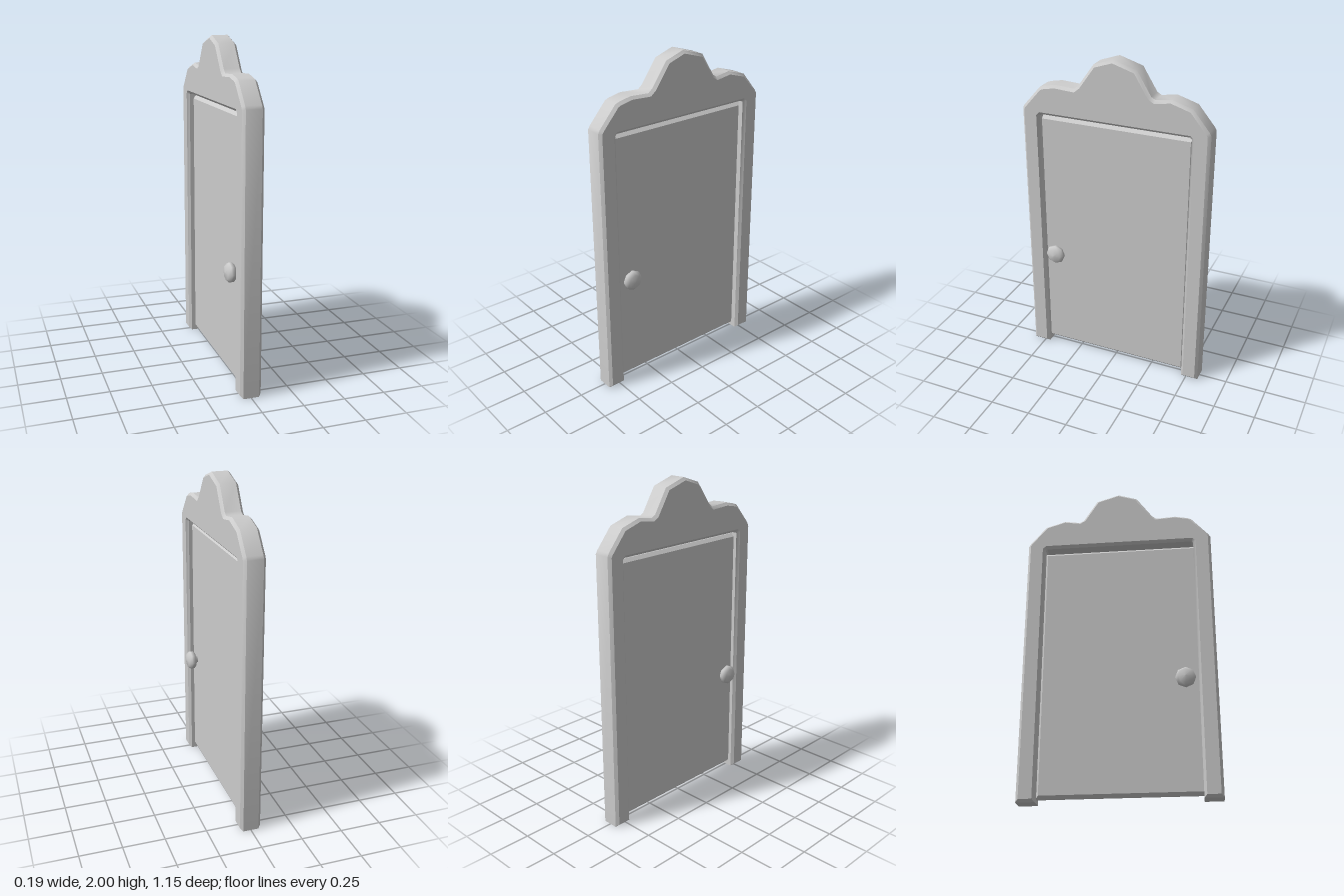
import * as THREE from 'three';
import { toCreasedNormals } from 'three/addons/utils/BufferGeometryUtils.js';

const material = new THREE.MeshStandardMaterial({ color: 0xcccccc });

// Extrudes a [z, y] outline along x, centred on x = 0, with edges chamfered inside the outline
function slab(points, thickness, bevel) {
  const shape = new THREE.Shape(points.map(([z, y]) => new THREE.Vector2(z, y)));
  const geometry = new THREE.ExtrudeGeometry(shape, {
    depth: thickness - 2 * bevel,
    bevelThickness: bevel,
    bevelSize: bevel,
    bevelOffset: -bevel,
    bevelSegments: 1,
  });
  geometry.translate(0, 0, bevel - thickness / 2);
  geometry.rotateY(-Math.PI / 2);
  return toCreasedNormals(geometry, 0.75);
}

function add(parent, name, geometry) {
  const mesh = new THREE.Mesh(geometry, material);
  mesh.name = name;
  parent.add(mesh);
  return mesh;
}

export function createModel() {
  const group = new THREE.Group();
  group.name = 'door';

  // Frame: two legs joined by a scalloped crest
  const frame = [
    [-0.576, 0], [-0.467, 0], [-0.467, 1.61], [-0.457, 1.62],
    [0.457, 1.62], [0.467, 1.61], [0.467, 0], [0.576, 0],
    [0.576, 1.645], [0.565, 1.665], [0.46, 1.785], [0.435, 1.795],
    [0.36, 1.81], [0.24, 1.803], [0.213, 1.825], [0.117, 1.96],
    [0, 2],
    [-0.14, 1.957], [-0.225, 1.82], [-0.25, 1.805], [-0.345, 1.82],
    [-0.467, 1.783], [-0.565, 1.665], [-0.576, 1.645],
  ];
  add(group, 'frame', slab(frame, 0.126, 0.016));

  // Thin door panel, with a narrow gap above it
  const panel = [[-0.474, 0.022], [0.49, 0.022], [0.49, 1.603], [-0.474, 1.603]];
  add(group, 'doorPanel', slab(panel, 0.05, 0.019));

  // Eight-sided knobs on both faces
  const profile = [
    [0.02, 0], [0.022, 0.035], [0.042, 0.04], [0.06, 0.056],
    [0.06, 0.073], [0.042, 0.092], [0, 0.097],
  ].map(([r, h]) => new THREE.Vector2(r, h));
  for (const side of [1, -1]) {
    const knob = add(group, side > 0 ? 'leftKnob' : 'rightKnob', new THREE.LatheGeometry(profile, 8));
    knob.rotation.z = -side * Math.PI / 2;
    knob.position.set(0, 0.7, 0.39);
  }

  return group;
}
